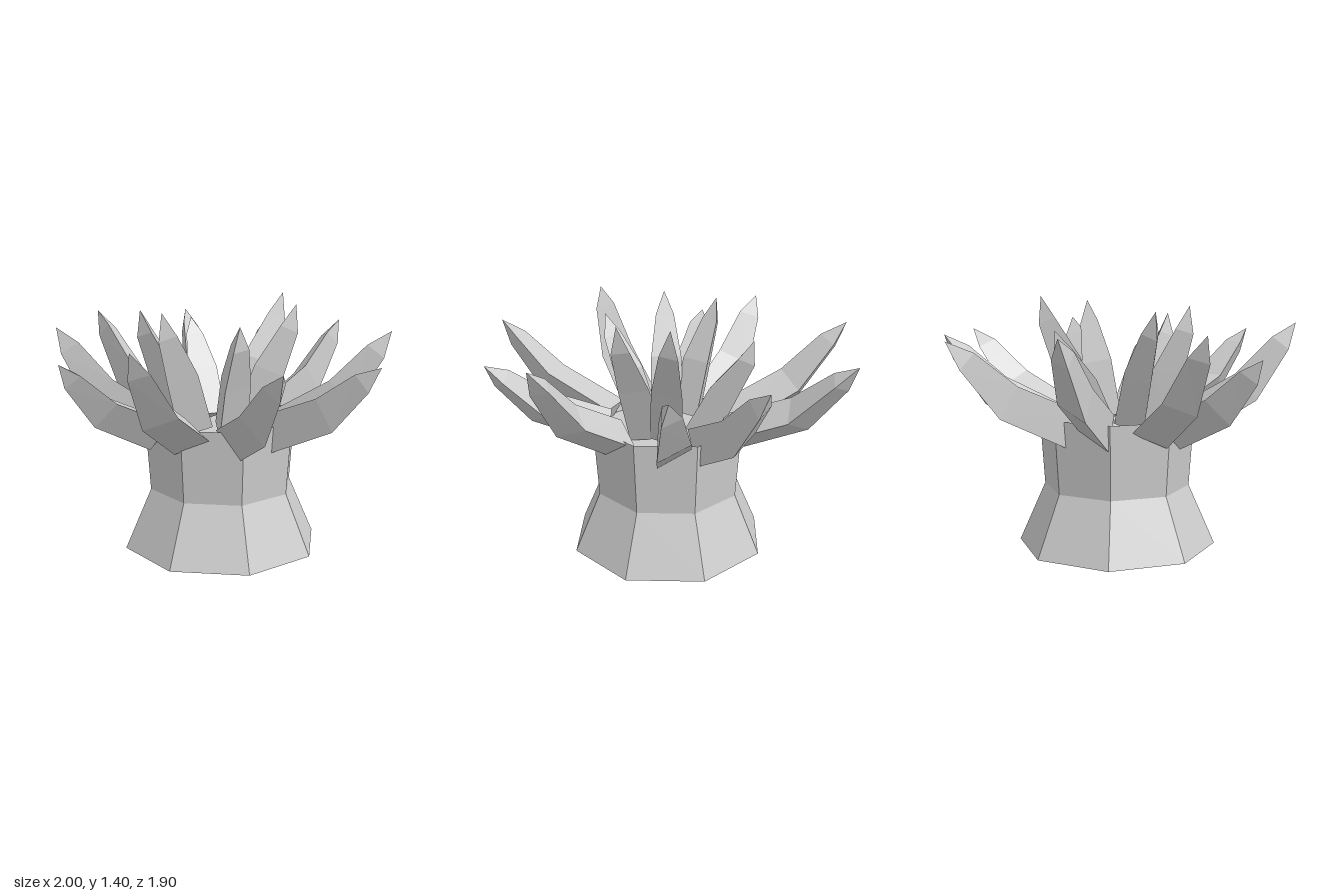
import * as THREE from 'three';

const flesh = new THREE.MeshStandardMaterial({ color: 0xcccccc, flatShading: true });
flesh.name = 'paleGrey';

const rad = THREE.MathUtils.degToRad;
const SIDES = 3;

// Path rules: root [radius, height], then [fraction out, fraction up, thickness] for each ring
const OUTER = { root: [0.36, 0.7], rings: [[0, 0, 0.12], [0.55, 0.36, 0.112], [0.86, 0.8, 0.067]] };
const INNER = { root: [0.18, 0.7], rings: [[0, 0, 0.11], [0.42, 0.46, 0.1], [0.85, 0.8, 0.06]] };

// Tips as [x, y, z, roll in degrees]
const outerTips = [
  [0.19, 1.20, -0.95, -28], [0.80, 1.24, -0.51, -28], [1.0, 1.13, -0.06, -30], [0.88, 1.18, 0.61, 57],
  [0.25, 1.26, 0.95, -27], [-0.38, 1.11, 0.83, 60], [-0.66, 1.25, 0.59, 30], [-1.0, 1.25, -0.05, 30],
  [-0.83, 1.21, -0.68, 30], [-0.30, 1.20, -0.92, -30],
];
const innerTips = [
  [0.09, 1.40, -0.49, 20], [0.33, 1.37, -0.28, -27], [0.32, 1.30, 0.21, -20],
  [-0.05, 1.36, 0.40, 60], [-0.33, 1.34, 0.27, 60], [-0.41, 1.24, -0.25, 60],
];

// Bent, tapering three-sided tentacle ending in a point
function tentacle([x, y, z, roll], { root, rings }) {
  const reach = Math.hypot(x, z);
  const out = new THREE.Vector3(x / reach, 0, z / reach);
  const side = new THREE.Vector3(out.z, 0, -out.x);
  const path = rings.map(([f, g]) => [root[0] + (reach - root[0]) * f, root[1] + (y - root[1]) * g]);
  path.push([reach, y]);

  const loops = rings.map(([, , thick], i) => {
    const a = path[Math.max(i - 1, 0)], b = path[i + 1];
    const slope = Math.atan2(b[1] - a[1], b[0] - a[0]);
    const up = out.clone().multiplyScalar(-Math.sin(slope)).setY(Math.cos(slope));
    const centre = out.clone().multiplyScalar(path[i][0]).setY(path[i][1]);
    return Array.from({ length: SIDES }, (_, j) => {
      const t = rad(roll) + (j / SIDES) * Math.PI * 2;
      return centre.clone().addScaledVector(up, thick * Math.cos(t)).addScaledVector(side, thick * Math.sin(t));
    });
  });

  const tip = new THREE.Vector3(x, y, z);
  const points = [...loops[0]]; // root cap
  const last = loops[loops.length - 1];
  for (let j = 0; j < SIDES; j++) {
    const k = (j + 1) % SIDES;
    for (let i = 0; i < loops.length - 1; i++) {
      const p = loops[i], q = loops[i + 1];
      points.push(p[j], q[j], q[k], p[j], q[k], p[k]);
    }
    points.push(last[j], tip, last[k]);
  }
  const geometry = new THREE.BufferGeometry().setFromPoints(points);
  geometry.computeVertexNormals();
  return new THREE.Mesh(geometry, flesh);
}

function ringOf(name, tips, rule) {
  const group = new THREE.Group();
  group.name = name;
  tips.forEach((tip, i) => {
    const mesh = tentacle(tip, rule);
    mesh.name = `${name}${i + 1}`;
    group.add(mesh);
  });
  return group;
}

export function createModel() {
  const model = new THREE.Group();
  model.name = 'seaAnemone';

  // Eight-sided column with a flared foot and a sunken top disc
  const profile = [[0, 0], [0.562, 0], [0.412, 0.34], [0.44, 0.75], [0.428, 0.67], [0, 0.67]]
    .map(([r, h]) => new THREE.Vector2(r, h));
  const geometry = new THREE.LatheGeometry(profile, 8, rad(9.5)).toNonIndexed();
  geometry.computeVertexNormals();
  const column = new THREE.Mesh(geometry, flesh);
  column.name = 'column';
  column.position.set(0.01, 0, -0.022);
  model.add(column);

  model.add(ringOf('outerTentacle', outerTips, OUTER));
  model.add(ringOf('innerTentacle', innerTips, INNER));
  return model;
}
